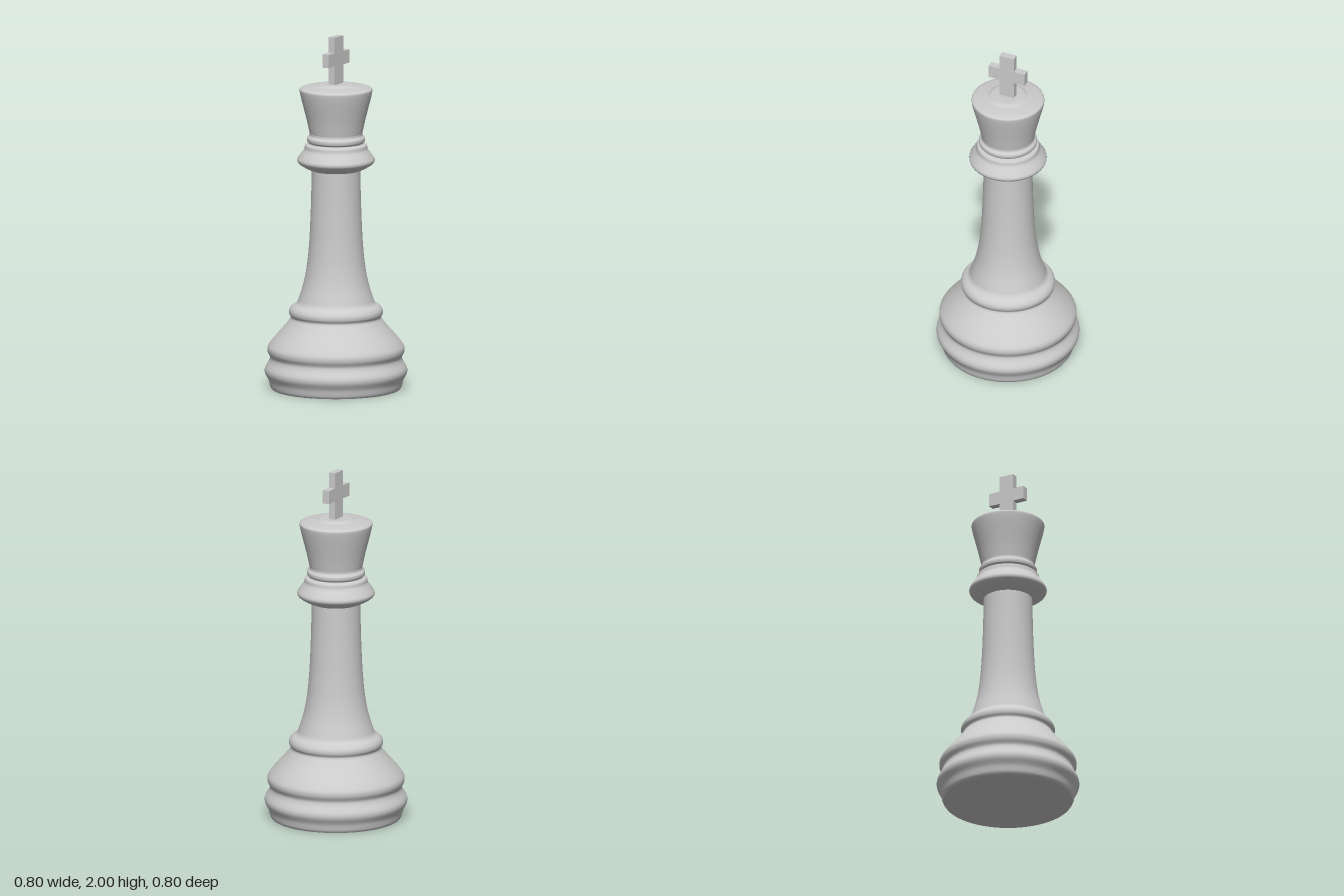
import * as THREE from 'three';

const material = new THREE.MeshStandardMaterial({ color: 0xcccccc });

function addMesh(group, name, geometry) {
  const mesh = new THREE.Mesh(geometry, material);
  mesh.name = name;
  group.add(mesh);
  return mesh;
}

// Smooth turned part from [radius, height] points, listed bottom to top
function turned(group, name, profile) {
  const curve = new THREE.CatmullRomCurve3(
    profile.map(([r, y]) => new THREE.Vector3(r, y, 0)), false, 'centripetal');
  const points = curve.getPoints(profile.length * 6)
    .map(p => new THREE.Vector2(Math.max(p.x, 0), p.y));
  return addMesh(group, name, new THREE.LatheGeometry(points, 96));
}

export function createModel() {
  const model = new THREE.Group();
  model.name = 'chessKing';

  // Flat underside
  const underside = addMesh(model, 'underside', new THREE.CircleGeometry(0.36, 96));
  underside.rotation.x = Math.PI / 2;

  // Stepped base: two rounded rings, a sloping shoulder and a bead
  turned(model, 'base', [
    [0.36, 0], [0.368, 0.012], [0.378, 0.05], [0.398, 0.09], [0.398, 0.115],
    [0.374, 0.16], [0.37, 0.18], [0.383, 0.21], [0.383, 0.235], [0.365, 0.265],
    [0.268, 0.38], [0.253, 0.405], [0.262, 0.425], [0.262, 0.445],
    [0.25, 0.465], [0.222, 0.485], [0.213, 0.5],
  ]);

  // Tapering stem
  turned(model, 'stem', [
    [0.213, 0.5], [0.182, 0.6], [0.163, 0.7], [0.151, 0.82],
    [0.144, 0.95], [0.139, 1.1], [0.137, 1.24],
  ]);

  // Flared collar with a narrow bead above it
  turned(model, 'collar', [
    [0.137, 1.24], [0.165, 1.252], [0.212, 1.283], [0.217, 1.3],
    [0.203, 1.325], [0.178, 1.36], [0.172, 1.385], [0.152, 1.394],
    [0.161, 1.405], [0.162, 1.425], [0.15, 1.438], [0.148, 1.45],
  ]);

  // Widening head with a shallow raised disc on top
  turned(model, 'head', [
    [0.148, 1.45], [0.163, 1.52], [0.203, 1.685], [0.203, 1.7],
    [0.192, 1.708], [0.15, 1.716], [0.108, 1.723], [0.095, 1.73], [0, 1.73],
  ]);

  // Cross finial, its arms along z
  const halfOutline = [
    [0.044, 1.7], [0.044, 1.836], [0.11, 1.836], [0.11, 1.912], [0.044, 1.912], [0.044, 2],
  ];
  const outline = [
    ...halfOutline,
    ...halfOutline.map(([x, y]) => [-x, y]).reverse(),
  ].map(([x, y]) => new THREE.Vector2(x, y));
  const crossGeometry = new THREE.ExtrudeGeometry(new THREE.Shape(outline), {
    depth: 0.04, bevelEnabled: false,
  });
  crossGeometry.translate(0, 0, -0.02);
  crossGeometry.rotateY(Math.PI / 2);
  addMesh(model, 'cross', crossGeometry);

  return model;
}
